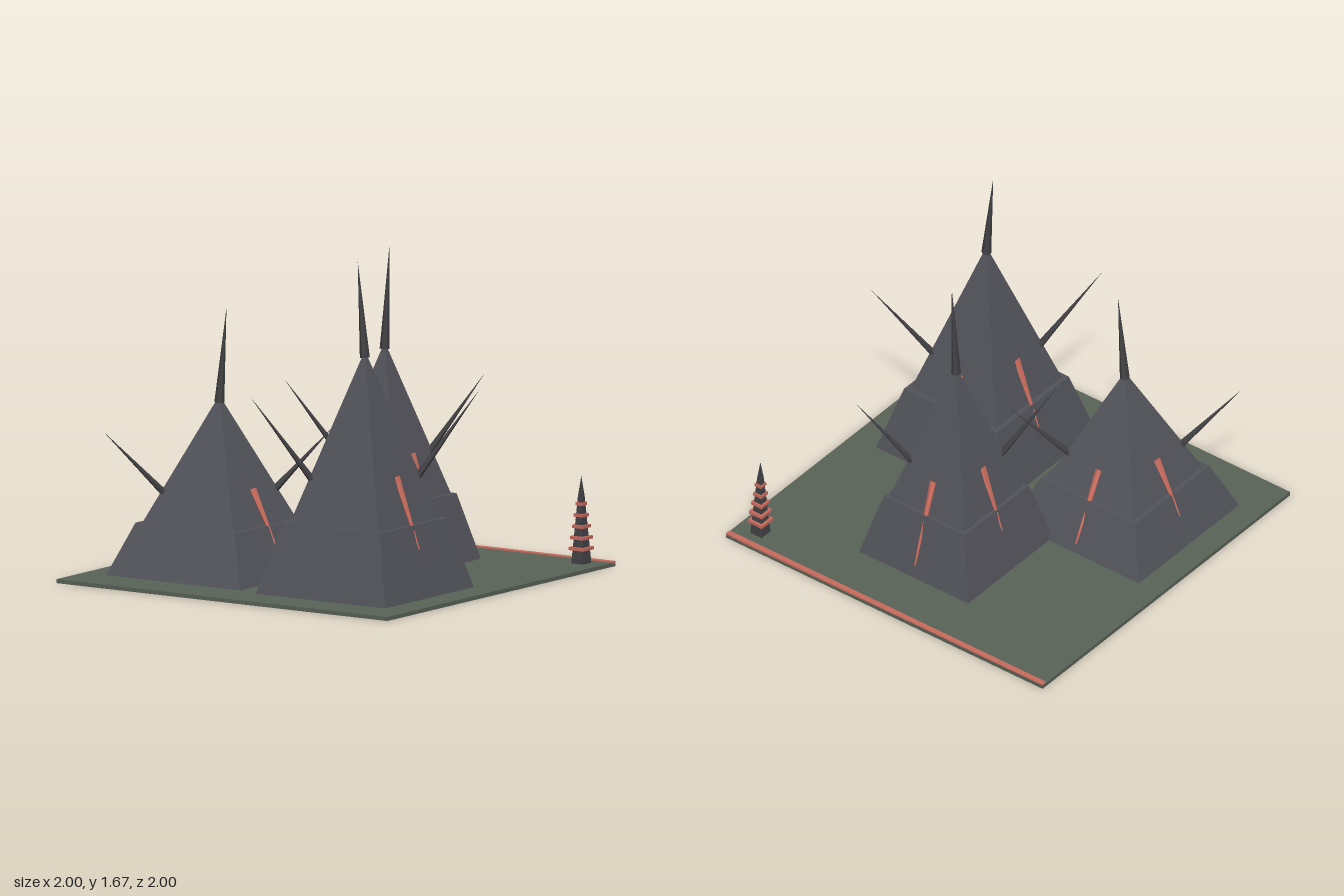
import * as THREE from 'three';

const mat = (name, color) => {
  const m = new THREE.MeshStandardMaterial({ color, flatShading: true });
  m.name = name;
  return m;
};

export function createModel() {
  const stone = mat('dark stone', 0x53535b);
  const spikeMat = mat('charcoal spike', 0x424246);
  const red = mat('coral red', 0xc96c5e);
  const moss = mat('moss green', 0x5a6458);

  const root = new THREE.Group();
  root.name = 'pyramidField';

  const add = (parent, name, geo, material, x = 0, y = 0, z = 0) => {
    const mesh = new THREE.Mesh(geo, material);
    mesh.name = name;
    mesh.position.set(x, y, z);
    parent.add(mesh);
    return mesh;
  };

  // Square frustum, sized by half widths, standing on its own base
  const frustum = (top, bottom, h) =>
    new THREE.CylinderGeometry(top * Math.SQRT2, bottom * Math.SQRT2, h, 4)
      .rotateY(Math.PI / 4).translate(0, h / 2, 0);

  // Tapered rod running from point a to point b
  const rod = (parent, name, a, b, ra, rb, material, sides = 6) => {
    const from = new THREE.Vector3(...a), dir = new THREE.Vector3(...b).sub(from);
    const len = dir.length();
    const geo = new THREE.CylinderGeometry(rb, ra, len, sides).translate(0, len / 2, 0);
    const mesh = add(parent, name, geo, material, ...a);
    mesh.quaternion.setFromUnitVectors(new THREE.Vector3(0, 1, 0), dir.normalize());
  };

  // Ground slab and the edging along its back
  const ground = 0.02;
  add(root, 'groundSlab', new THREE.BoxGeometry(2, ground, 2), moss, 0, ground / 2, 0);
  add(root, 'backEdging', new THREE.BoxGeometry(2, 0.012, 0.03), red, 0, 0.02, -0.985);

  const pyramids = [
    { name: 'rightPyramid', x: -0.46, z: 0.355, base: 0.405, shelf: 0.3, inner: 0.275, ledge: 0.28,
      apex: 0.91, tip: [0.043, 1.355], spike: [0.2, 0.43, 0.415, 0.745],
      side: [0.2, 0.455, 0.348, 0.17], back: [0.205, 0.42, 0.395, 0.07] },
    { name: 'rearPyramid', x: 0.047, z: -0.358, base: 0.344, shelf: 0.257, inner: 0.237, ledge: 0.355,
      apex: 1.13, tip: [0.028, 1.61], spike: [0.155, 0.56, 0.358, 0.955],
      side: [0.163, 0.58, 0.29, 0.245], back: [0.182, 0.525, 0.334, 0.09] },
    { name: 'leftPyramid', x: 0.455, z: 0.407, base: 0.39, shelf: 0.292, inner: 0.267, ledge: 0.375,
      apex: 1.23, tip: [-0.043, 1.675], spike: [0.19, 0.59, 0.41, 1.015],
      side: [0.188, 0.61, 0.33, 0.255], back: [0.205, 0.55, 0.385, 0.09] },
  ];

  for (const p of pyramids) {
    const g = new THREE.Group();
    g.name = p.name;
    g.position.set(p.x, 0, p.z);
    root.add(g);

    // Stepped body
    add(g, 'lowerTier', frustum(p.shelf, p.base, p.ledge - ground), stone, 0, ground, 0);
    add(g, 'upperPyramid', frustum(0, p.inner, p.apex - p.ledge), stone, 0, p.ledge, 0);

    // Leaning spire on the apex
    rod(g, 'spire', [0, p.apex - 0.035, 0], [p.tip[0], p.tip[1], 0], 0.025, 0, spikeMat);

    // Spikes on two opposite corners
    const [r0, y0, r1, y1] = p.spike;
    for (const s of [-1, 1]) {
      rod(g, 'cornerSpike', [s * r0, y0, -s * r0], [s * r1, y1, -s * r1], 0.018, 0, spikeMat);
    }

    // Red streaks down the sides and the back
    const [a, ya, b, yb] = p.side;
    for (const s of [-1, 1]) {
      rod(g, 'sideStreak', [s * a, ya, 0], [s * b, yb, 0], 0.02, 0.003, red);
    }
    const [c, yc, d, yd] = p.back;
    rod(g, 'backStreak', [0, yc, -c], [0, yd, -d], 0.02, 0.004, red);
  }

  // Small tiered tower in the back corner
  const tower = new THREE.Group();
  tower.name = 'tower';
  tower.position.set(0.875, 0, -0.88);
  root.add(tower);
  add(tower, 'towerShaft', frustum(0.012, 0.036, 0.34), spikeMat, 0, ground, 0);
  add(tower, 'towerSpire', frustum(0, 0.012, 0.1), spikeMat, 0, 0.36, 0);
  [[0.095, 0.045], [0.15, 0.041], [0.207, 0.034], [0.263, 0.027], [0.32, 0.021]].forEach(([y, h]) =>
    add(tower, 'towerRing', new THREE.BoxGeometry(h * 2, 0.016, h * 2), red, 0, y, 0));

  return root;
}
